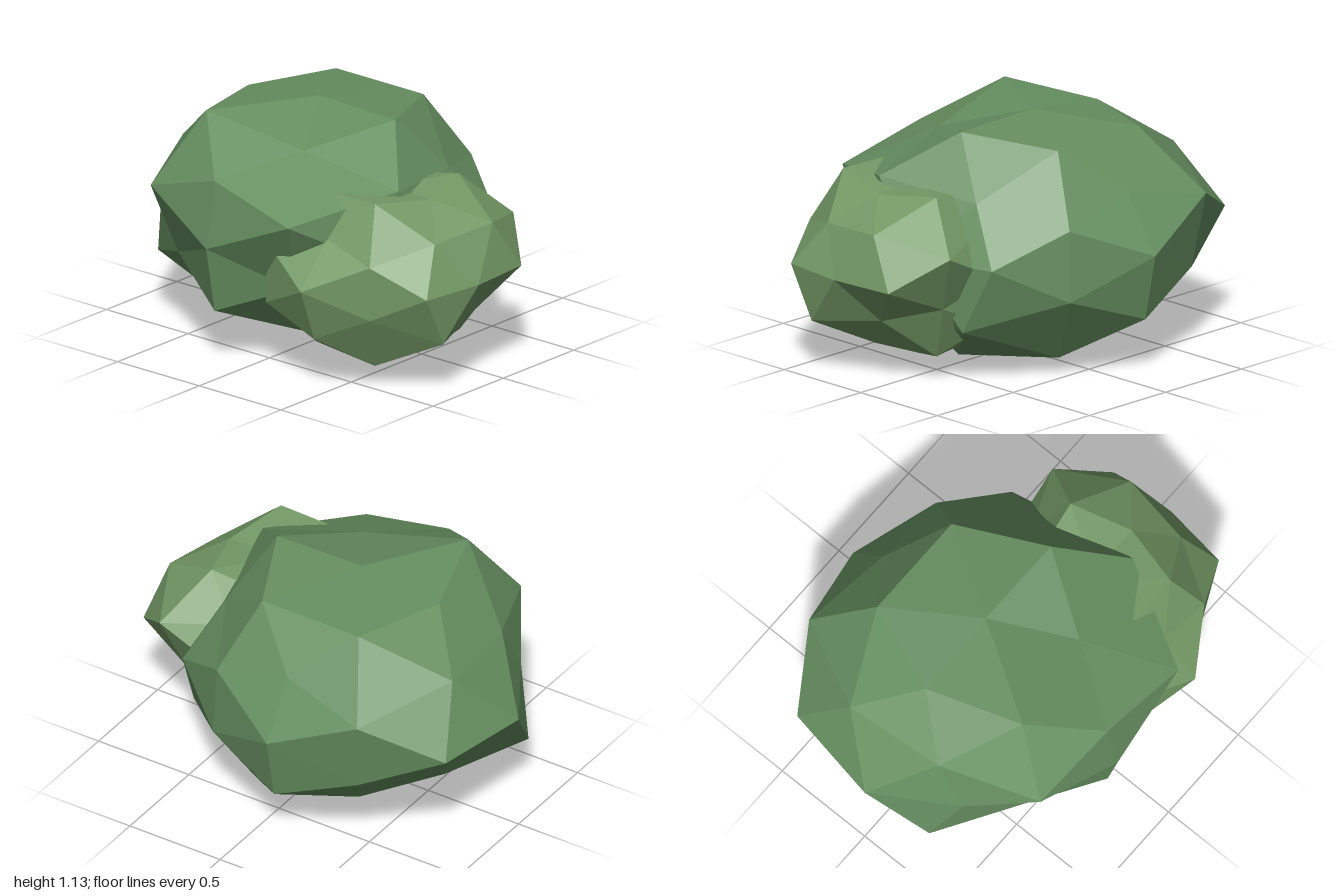
import * as THREE from 'three';

// The 42 corner directions of a once-divided icosahedron, as families of +/- signs
function cornerDirections() {
  const families = [
    [1, 0, 0], [0, 1, 0], [0, 0, 1],
    [0.526, 0.851, 0], [0, 0.526, 0.851], [0.851, 0, 0.526],
    [0.5, 0.309, 0.809], [0.309, 0.809, 0.5], [0.809, 0.5, 0.309],
  ];
  const signs = (v) => (v === 0 ? [0] : [v, -v]);
  const dirs = [];
  for (const [a, b, c] of families)
    for (const x of signs(a))
      for (const y of signs(b))
        for (const z of signs(c)) dirs.push(new THREE.Vector3(x, y, z));
  return dirs;
}

// A faceted leaf clump: each corner is pushed out to its own radius, then squashed in y
function clump(name, color, center, squash, radii) {
  const dirs = cornerDirections();
  const geometry = new THREE.IcosahedronGeometry(1, 1);
  const pos = geometry.attributes.position;
  const v = new THREE.Vector3();
  for (let i = 0; i < pos.count; i++) {
    v.fromBufferAttribute(pos, i);
    const corner = dirs.findIndex((d) => d.dot(v) > 0.98);
    v.multiplyScalar(radii[corner]);
    pos.setXYZ(i, v.x, v.y * squash, v.z);
  }
  geometry.computeVertexNormals();
  const mesh = new THREE.Mesh(geometry, new THREE.MeshStandardMaterial({ color, flatShading: true }));
  mesh.name = name;
  mesh.position.set(...center);
  return mesh;
}

export function createModel() {
  const bush = new THREE.Group();
  bush.name = 'bush';

  // Large main clump
  bush.add(clump('largeClump', 0x668f60, [-0.13, 0.59, 0], 0.7, [
    0.8, 0.87, 0.77, 0.84, 0.8, 0.805,
    0.89, 0.92, 0.82, 0.74,
    0.87, 0.735, 0.87, 0.87,
    0.8, 0.83, 0.74, 0.92,
    0.95, 0.78, 0.75, 0.8, 0.86, 0.87, 0.72, 0.8,
    0.75, 0.865, 0.8, 0.9, 0.93, 0.865, 0.76, 0.785,
    0.9, 0.74, 0.8, 0.92, 0.77, 0.83, 0.915, 0.76,
  ]));

  // Smaller, lighter clump at the front left
  bush.add(clump('smallClump', 0x749a66, [0.44, 0.51, 0.175], 0.8, [
    0.56, 0.55, 0.45, 0.6, 0.615, 0.5,
    0.52, 0.54, 0.5, 0.55,
    0.5, 0.46, 0.61, 0.55,
    0.61, 0.63, 0.55, 0.5,
    0.545, 0.645, 0.53, 0.5, 0.62, 0.5, 0.62, 0.5,
    0.61, 0.59, 0.62, 0.6, 0.6, 0.5, 0.58, 0.55,
    0.535, 0.6, 0.63, 0.5, 0.55, 0.5, 0.55, 0.55,
  ]));

  return bush;
}
